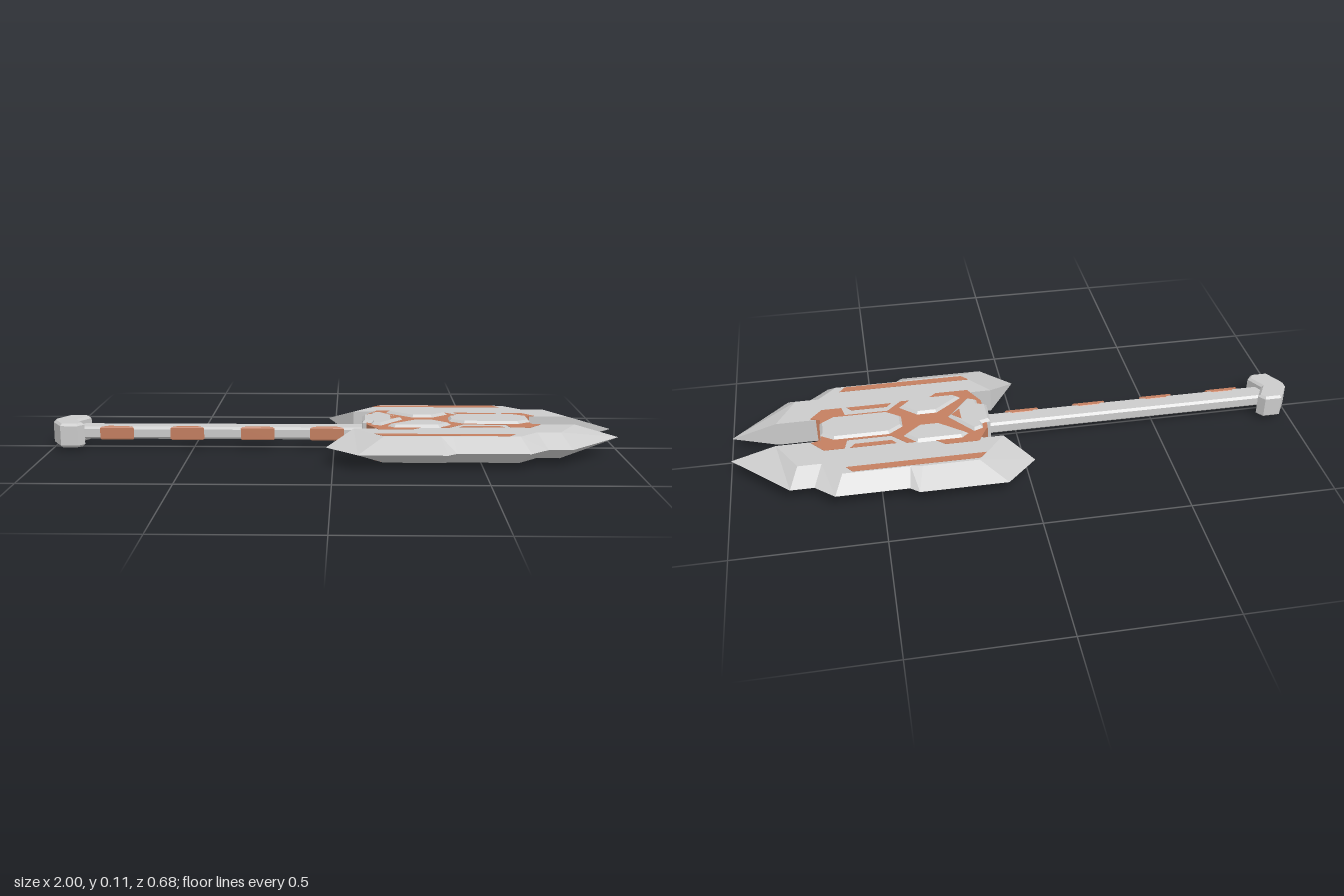
import * as THREE from 'three';

const MID = 0.055; // height of the symmetry plane
const grey = new THREE.MeshStandardMaterial({ color: 0xcccccc, flatShading: true });
const copper = new THREE.MeshStandardMaterial({ color: 0xc47f60, flatShading: true });

// Mirrors a half outline (z >= 0) across z = 0
const mirrored = (half) => [
  ...half,
  ...half.filter((p) => p[1] !== 0).reverse().map(([x, z]) => [x, -z]),
];
const flip = (pts, s) => pts.map(([x, z]) => [x, z * s]);

// Plate with an [x, z] outline, bevelled top and bottom, centred on the mid plane
function plate(name, pts, halfHeight, bevel, material) {
  const shape = new THREE.Shape(pts.map(([x, z]) => new THREE.Vector2(x, z)));
  const geo = new THREE.ExtrudeGeometry(shape, {
    depth: 2 * (halfHeight - bevel), bevelEnabled: bevel > 0, bevelSegments: 1,
    bevelThickness: bevel, bevelSize: bevel, bevelOffset: -bevel,
  });
  geo.translate(0, 0, -(halfHeight - bevel));
  geo.rotateX(Math.PI / 2);
  geo.translate(0, MID, 0);
  const mesh = new THREE.Mesh(geo, material);
  mesh.name = name;
  return mesh;
}

// Blade: each row is sharp edge x, z and flat face x, z
const BLADE = [
  [-0.024, -0.235, 0.07, -0.14], [0.083, -0.34, 0.17, -0.26], [0.38, -0.34, 0.36, -0.26],
  [0.41, -0.315, 0.4, -0.255], [0.655, -0.315, 0.625, -0.255], [0.72, -0.257, 0.69, -0.19],
  [0.8, -0.257, 0.77, -0.19], [0.995, -0.064, 0.84, -0.064], [0.73, -0.064, 0.73, -0.064],
  [0.2, -0.064, 0.2, -0.064], [0.14, -0.14, 0.14, -0.14], [0.07, -0.14, 0.07, -0.14],
];

function blade(side) {
  let rows = BLADE.map(([a, b, c, d]) => [a, -b * side, c, -d * side]);
  if (side > 0) rows = rows.reverse();
  const n = rows.length, h = 0.045, pos = [];
  const ring = (y, k) => rows.map((r) => new THREE.Vector3(r[k], y, r[k + 1]));
  const mid = ring(MID, 0), top = ring(MID + h, 2), bottom = ring(MID - h, 2);
  const tri = (...vs) => vs.forEach((v) => pos.push(v.x, v.y, v.z));
  for (let i = 0; i < n; i++) {
    const j = (i + 1) % n;
    tri(mid[i], top[i], top[j]);
    tri(mid[i], top[j], mid[j]);
    tri(mid[i], bottom[j], bottom[i]);
    tri(mid[i], mid[j], bottom[j]);
  }
  // Flat faces, wound by the sign of each triangle
  const flat = rows.map((r) => new THREE.Vector2(r[2], r[3]));
  for (const [a, b, c] of THREE.ShapeUtils.triangulateShape(flat, [])) {
    const up = THREE.ShapeUtils.area([flat[a], flat[b], flat[c]]) < 0;
    const [p, q] = up ? [b, c] : [c, b];
    tri(top[a], top[p], top[q]);
    tri(bottom[a], bottom[q], bottom[p]);
  }
  const geo = new THREE.BufferGeometry();
  geo.setAttribute('position', new THREE.Float32BufferAttribute(pos, 3));
  geo.computeVertexNormals();
  const mesh = new THREE.Mesh(geo, grey);
  mesh.name = side > 0 ? 'frontBlade' : 'backBlade';
  return mesh;
}

// Bar along x with a chamfered [z, y] section
function bar(name, x0, x1, section, material) {
  const shape = new THREE.Shape(section.map(([z, y]) => new THREE.Vector2(-z, y)));
  const geo = new THREE.ExtrudeGeometry(shape, { depth: x1 - x0, bevelEnabled: false });
  geo.rotateY(Math.PI / 2);
  geo.translate(x0, MID, 0);
  const mesh = new THREE.Mesh(geo, material);
  mesh.name = name;
  return mesh;
}

export function createModel() {
  const model = new THREE.Group();
  model.name = 'doubleBladedAxe';

  // Handle with inlaid grips along its front side
  bar('handle', -0.93, 0.15, [
    [-0.037, -0.014], [-0.029, -0.022], [0.024, -0.022], [0.033, -0.014],
    [0.033, 0.014], [0.024, 0.022], [-0.029, 0.022], [-0.037, 0.014],
  ], grey);
  model.add(bar('handle', -0.93, 0.15, [
    [-0.037, -0.014], [-0.029, -0.022], [0.024, -0.022], [0.033, -0.014],
    [0.033, 0.014], [0.024, 0.022], [-0.029, 0.022], [-0.037, 0.014],
  ], grey));
  for (const x of [-0.77, -0.52, -0.27, -0.025]) {
    model.add(plate('grip', [[x - 0.06, 0.035], [x - 0.035, 0.014], [x + 0.035, 0.014], [x + 0.06, 0.035]],
      0.0235, 0.004, copper));
  }

  // Chevron pommel
  model.add(plate('pommel', mirrored([
    [-0.912, 0], [-0.88, 0.056], [-0.9, 0.08], [-0.96, 0.08], [-1, 0.012],
  ]), 0.043, 0.008, grey));

  // Inlaid frame at the heart of the head
  model.add(plate('headFrame', mirrored([
    [0.115, 0.08], [0.155, 0.155], [0.27, 0.155], [0.305, 0.125], [0.4, 0.125], [0.45, 0.075],
    [0.6, 0.075], [0.61, 0.12], [0.68, 0.12], [0.722, 0.07], [0.688, 0.06],
  ]), 0.0462, 0, copper));

  // Raised centre panel and the socket holding the handle
  model.add(plate('centrePanel', mirrored([
    [0.69, 0.036], [0.645, 0.066], [0.455, 0.066], [0.405, 0.03],
  ]), 0.055, 0.01, grey));
  model.add(plate('socket', mirrored([
    [0.245, 0], [0.165, 0.1], [0.13, 0.085], [0.13, 0.06], [0.1, 0.05],
  ]), 0.055, 0.01, grey));
  model.add(plate('socketInlay', mirrored([[0.232, 0], [0.2, 0.03]]), 0.0555, 0, copper));

  for (const s of [-1, 1]) {
    model.add(blade(s));
    model.add(plate('sidePanel', flip([
      [0.185, 0.108], [0.21, 0.13], [0.365, 0.13], [0.41, 0.085], [0.35, 0.032], [0.28, 0.032],
    ], s), 0.055, 0.01, grey));
    model.add(plate('bladeInlay', flip([
      [0.14, 0.223], [0.165, 0.25], [0.592, 0.25], [0.612, 0.223],
    ], s), 0.0462, 0, copper));
    model.add(plate('smallInlay', flip([
      [0.435, 0.12], [0.45, 0.1], [0.575, 0.1], [0.592, 0.12],
    ], s), 0.0462, 0, copper));
  }
  return model;
}
